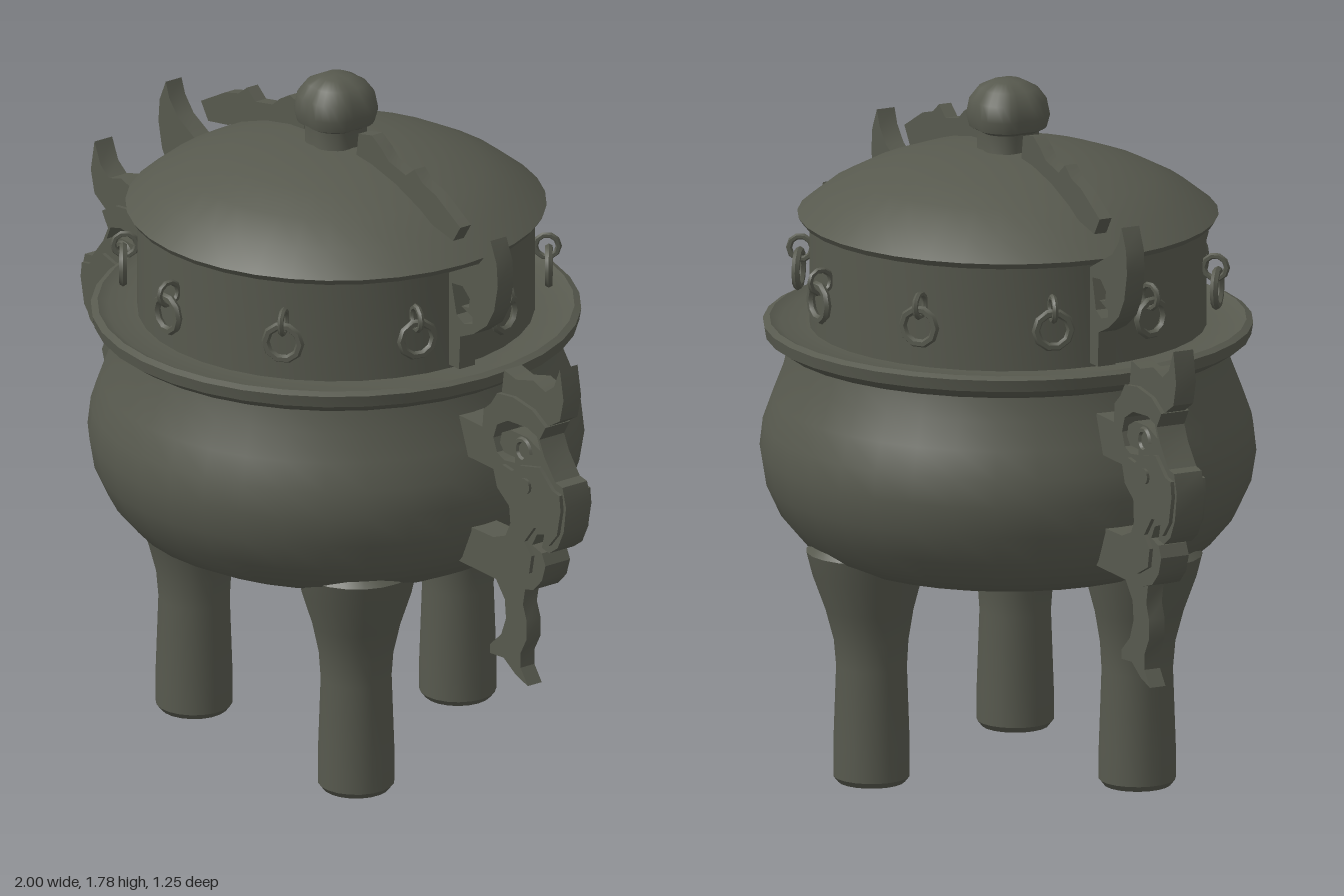
import * as THREE from 'three';
import { toCreasedNormals } from 'three/addons/utils/BufferGeometryUtils.js';

const bronze = new THREE.MeshStandardMaterial({ color: 0x57594e });
bronze.name = 'dark bronze';

const points = (list) => list.map(([x, y]) => new THREE.Vector2(x, y));

function part(name, geometry, crease = 0.6) {
  const mesh = new THREE.Mesh(toCreasedNormals(geometry, crease), bronze);
  mesh.name = name;
  return mesh;
}

const lathe = (name, profile, sides = 36) => part(name, new THREE.LatheGeometry(points(profile), sides));

// Flat cut-out plate in the xy plane, centred on z = 0
function plate(name, outline, thickness, holes = []) {
  const shape = new THREE.Shape(points(outline));
  for (const hole of holes) shape.holes.push(new THREE.Path(points(hole)));
  const geometry = new THREE.ExtrudeGeometry(shape, { depth: thickness, bevelEnabled: false });
  geometry.translate(0, 0, -thickness / 2);
  return part(name, geometry);
}

// Leg that swells and leans outward where it meets the belly
function leg(angle) {
  const geometry = new THREE.LatheGeometry(points([
    [0, 0], [0.085, 0], [0.097, 0.015], [0.097, 0.1], [0.09, 0.3], [0.095, 0.37],
    [0.112, 0.45], [0.14, 0.54], [0.152, 0.6], [0.12, 0.63], [0, 0.63],
  ]), 20);
  const p = geometry.attributes.position;
  for (let i = 0; i < p.count; i++) {
    const lean = Math.max(0, p.getY(i) - 0.35);
    p.setZ(i, p.getZ(i) + 0.386 + lean * 0.06);
  }
  const mesh = part('leg', geometry);
  mesh.rotation.y = angle;
  return mesh;
}

// Fluted ball finial on a short stem
function knob() {
  const geometry = new THREE.LatheGeometry(points([
    [0.085, 1.57], [0.078, 1.6], [0.078, 1.645], [0.098, 1.655], [0.106, 1.685],
    [0.098, 1.725], [0.075, 1.755], [0.04, 1.772], [0, 1.776],
  ]), 32);
  const p = geometry.attributes.position;
  for (let i = 0; i < p.count; i++) {
    const a = Math.atan2(p.getX(i), p.getZ(i));
    const k = 1 - 0.1 * Math.pow(Math.abs(Math.cos(2 * a)), 8);
    p.setXYZ(i, p.getX(i) * k, p.getY(i), p.getZ(i) * k);
  }
  return part('lidKnob', geometry);
}

// Staple on the neck with a ring hanging from it
function hangingRing(angle) {
  const group = new THREE.Group();
  group.name = 'hangingRing';
  const staple = part('staple', new THREE.TorusGeometry(0.03, 0.008, 6, 10), 1);
  staple.rotation.y = Math.PI / 2;
  staple.position.set(0, 1.312, 0.53);
  const ring = part('ring', new THREE.TorusGeometry(0.045, 0.011, 6, 10), 1);
  ring.position.set(0, 1.258, 0.535);
  group.add(staple, ring);
  group.rotation.y = angle;
  return group;
}

// Everything on one side: handle, ear and lid fin
function sideOrnaments() {
  const group = new THREE.Group();
  group.name = 'sideOrnaments';

  // Beast-shaped loop handle with a spiral slot in the head
  group.add(plate('handleBody', [
    [0.52, 1.04], [0.655, 1.04], [0.66, 1.09], [0.69, 1.115], [0.715, 1.15], [0.78, 1.16],
    [0.86, 1.15], [0.915, 1.12], [0.89, 1.08], [0.91, 1.04], [0.955, 0.985], [0.985, 0.98],
    [1.0, 0.93], [0.99, 0.86], [0.965, 0.81], [0.93, 0.785], [0.9, 0.79], [0.91, 0.83],
    [0.88, 0.82], [0.86, 0.785], [0.9, 0.775], [0.915, 0.745], [0.9, 0.7], [0.865, 0.665],
    [0.8, 0.645], [0.52, 0.645], [0.52, 0.75], [0.7, 0.755], [0.75, 0.775], [0.77, 0.815],
    [0.765, 0.86], [0.715, 0.895], [0.7, 0.94], [0.52, 0.94],
  ], 0.078, [[
    [0.895, 1.05], [0.88, 1.085], [0.84, 1.097], [0.76, 1.09], [0.715, 1.065], [0.7, 1.025],
    [0.715, 0.99], [0.745, 0.978], [0.79, 0.985], [0.79, 1.0], [0.745, 1.0], [0.727, 1.02],
    [0.735, 1.05], [0.77, 1.068], [0.84, 1.07],
  ]]));
  group.add(plate('handleHorn', [
    [0.7, 1.11], [0.72, 1.15], [0.73, 1.215], [0.78, 1.205], [0.85, 1.225], [0.9, 1.21],
    [0.935, 1.235], [0.96, 1.29], [0.975, 1.21], [0.96, 1.15], [0.915, 1.122],
    [0.86, 1.105], [0.76, 1.1],
  ], 0.056));
  group.add(plate('handleCheek', [
    [0.75, 0.97], [0.79, 0.965], [0.82, 0.99], [0.9, 1.01], [0.955, 0.965], [0.985, 0.96],
    [0.99, 0.92], [0.975, 0.85], [0.94, 0.81], [0.925, 0.85], [0.88, 0.84], [0.84, 0.79],
    [0.87, 0.76], [0.86, 0.71], [0.8, 0.68], [0.77, 0.71], [0.785, 0.8], [0.78, 0.88],
    [0.74, 0.92],
  ], 0.098));
  const eye = part('handleEye', new THREE.CylinderGeometry(0.02, 0.02, 0.112, 12));
  eye.rotation.x = Math.PI / 2;
  eye.position.set(0.85, 0.945, 0);
  group.add(eye);
  const curl = part('handleCurl', new THREE.TorusGeometry(0.028, 0.009, 6, 14, 4.8), 1);
  for (const z of [-0.038, 0.038]) {
    const c = curl.clone();
    c.position.set(0.825, 1.03, z);
    group.add(c);
  }
  group.add(plate('handleTail', [
    [0.675, 0.65], [0.725, 0.59], [0.73, 0.54], [0.71, 0.49], [0.665, 0.45], [0.665, 0.425],
    [0.72, 0.43], [0.77, 0.4], [0.82, 0.385], [0.79, 0.425], [0.79, 0.465], [0.815, 0.51],
    [0.815, 0.56], [0.8, 0.6], [0.81, 0.65],
  ], 0.044));

  // Leaf-shaped ear standing off the neck
  group.add(plate('ear', [
    [0.49, 1.155], [0.54, 1.155], [0.545, 1.245], [0.6, 1.27], [0.655, 1.31], [0.685, 1.36],
    [0.7, 1.43], [0.695, 1.49], [0.67, 1.545], [0.655, 1.505], [0.62, 1.465], [0.56, 1.435],
    [0.49, 1.4],
  ], 0.05, [[
    [0.51, 1.38], [0.555, 1.385], [0.585, 1.36], [0.58, 1.335], [0.55, 1.33], [0.595, 1.315],
    [0.595, 1.295], [0.56, 1.285], [0.53, 1.3],
  ]]));

  // Scalloped fin on the lid
  group.add(plate('lidFin', [
    [0.105, 1.585], [0.115, 1.655], [0.17, 1.668], [0.21, 1.645], [0.24, 1.62], [0.31, 1.605],
    [0.345, 1.632], [0.38, 1.605], [0.435, 1.59], [0.535, 1.535], [0.505, 1.49],
    [0.425, 1.505], [0.3, 1.55],
  ], 0.034));
  return group;
}

export function createModel() {
  const model = new THREE.Group();
  model.name = 'tripodCauldron';

  // Bulging bowl with a projecting rim
  model.add(lathe('bowl', [
    [0, 0.535], [0.25, 0.54], [0.45, 0.56], [0.52, 0.595], [0.575, 0.66], [0.612, 0.74],
    [0.625, 0.82], [0.617, 0.89], [0.592, 0.96], [0.565, 1.03], [0.55, 1.09], [0.575, 1.095],
    [0.612, 1.12], [0.617, 1.15], [0.6, 1.158], [0.575, 1.145], [0.48, 1.145],
  ]));
  model.add(lathe('neck', [[0.5, 1.13], [0.5, 1.42]]));

  // Domed lid
  model.add(lathe('lid', [
    [0.48, 1.41], [0.52, 1.415], [0.53, 1.43], [0.46, 1.485], [0.37, 1.532], [0.27, 1.568],
    [0.17, 1.59], [0, 1.605],
  ]));
  model.add(knob());

  for (let i = 0; i < 3; i++) model.add(leg(Math.PI + i * Math.PI * 2 / 3));

  // Five rings on the front half and five on the back
  for (const back of [0, Math.PI])
    for (const a of [-75, -38, 0, 38, 75]) model.add(hangingRing(back + THREE.MathUtils.degToRad(a)));

  const left = sideOrnaments();
  const right = sideOrnaments();
  right.rotation.y = Math.PI;
  model.add(left, right);
  return model;
}
